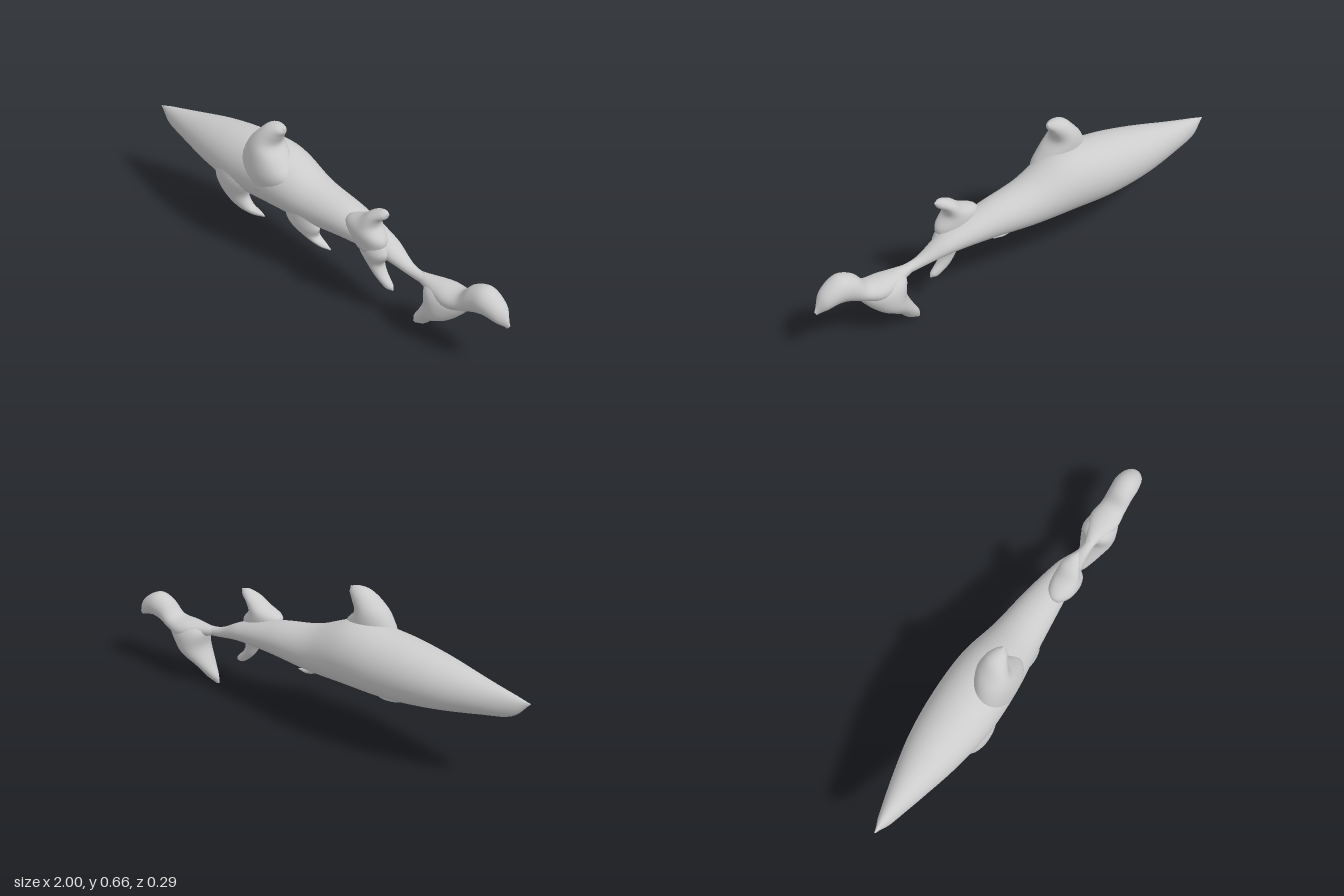
import * as THREE from 'three';

const material = new THREE.MeshStandardMaterial({ color: 0xcccccc });

// Each section is [ax, ay, bx, by, z, h]: a rounded ring spanning edge points a and b
// (a lies to the left of the travel direction), centred at z, with half-thickness h.
function loft(name, sections, rows = 40, sides = 28) {
  const curveA = new THREE.CatmullRomCurve3(sections.map(s => new THREE.Vector3(s[0], s[1], s[4])), false, 'centripetal');
  const curveB = new THREE.CatmullRomCurve3(sections.map(s => new THREE.Vector3(s[2], s[3], s[4])), false, 'centripetal');
  const thick = new THREE.SplineCurve(sections.map((s, i) => new THREE.Vector2(i, s[5])));
  const position = [], index = [];
  for (let i = 0; i <= rows; i++) {
    // ease towards the tip so it closes in a round
    const t = Math.sin((i / rows) * Math.PI / 2);
    const a = curveA.getPoint(t), b = curveB.getPoint(t);
    const h = Math.max(0, thick.getPoint(t).y);
    const mid = a.clone().add(b).multiplyScalar(0.5);
    const half = a.clone().sub(b).multiplyScalar(0.5);
    for (let j = 0; j < sides; j++) {
      const u = (j / sides) * Math.PI * 2;
      position.push(mid.x + half.x * Math.cos(u), mid.y + half.y * Math.cos(u), mid.z + h * Math.sin(u));
      if (i < rows) {
        const p = i * sides + j, q = i * sides + (j + 1) % sides;
        index.push(p, q, p + sides, q, q + sides, p + sides);
      }
    }
  }
  // close both ends
  for (const [row, flip] of [[0, true], [rows, false]]) {
    for (let j = 1; j < sides - 1; j++) {
      const o = row * sides;
      index.push(o, o + (flip ? j + 1 : j), o + (flip ? j : j + 1));
    }
  }
  const geometry = new THREE.BufferGeometry();
  geometry.setAttribute('position', new THREE.Float32BufferAttribute(position, 3));
  geometry.setIndex(index);
  geometry.computeVertexNormals();
  const mesh = new THREE.Mesh(geometry, material);
  mesh.name = name;
  return mesh;
}

export function createModel() {
  const group = new THREE.Group();
  group.name = 'shark';

  // torso from the pointed snout to the thin tail stalk
  group.add(loft('body', [
    [-1, 0.412, -1, 0.408, 0, 0.003],
    [-0.95, 0.425, -0.935, 0.34, -0.003, 0.026],
    [-0.8, 0.455, -0.8, 0.308, -0.006, 0.068],
    [-0.6, 0.497, -0.6, 0.272, -0.006, 0.117],
    [-0.4, 0.525, -0.4, 0.25, -0.002, 0.142],
    [-0.2, 0.53, -0.2, 0.25, -0.003, 0.138],
    [0, 0.452, 0, 0.25, -0.004, 0.108],
    [0.2, 0.412, 0.2, 0.265, -0.005, 0.083],
    [0.4, 0.35, 0.4, 0.265, -0.003, 0.054],
    [0.53, 0.285, 0.53, 0.24, 0.002, 0.024],
    [0.64, 0.275, 0.64, 0.23, 0, 0.025],
  ], 90, 40));

  // fins along the back
  group.add(loft('frontDorsalFin', [
    [-0.33, 0.36, -0.15, 0.36, 0.075, 0.06],
    [-0.365, 0.45, -0.09, 0.44, 0.065, 0.08],
    [-0.33, 0.555, -0.135, 0.51, 0.055, 0.08],
    [-0.28, 0.615, -0.18, 0.565, 0.046, 0.067],
    [-0.235, 0.655, -0.165, 0.61, 0.04, 0.046],
    [-0.19, 0.664, -0.15, 0.635, 0.04, 0.025],
    [-0.15, 0.657, -0.148, 0.65, 0.04, 0.003],
  ]));
  group.add(loft('rearDorsalFin', [
    [0.26, 0.31, 0.4, 0.3, 0.035, 0.05],
    [0.21, 0.4, 0.41, 0.36, 0.04, 0.06],
    [0.29, 0.445, 0.37, 0.415, 0.036, 0.053],
    [0.335, 0.482, 0.38, 0.45, 0.031, 0.041],
    [0.385, 0.502, 0.405, 0.47, 0.03, 0.022],
    [0.415, 0.497, 0.416, 0.49, 0.03, 0.003],
  ]));

  // hooked fins along the belly
  group.add(loft('pectoralFin', [
    [-0.34, 0.42, -0.51, 0.4, 0.085, 0.045],
    [-0.31, 0.34, -0.52, 0.31, 0.093, 0.05],
    [-0.345, 0.25, -0.475, 0.235, 0.085, 0.042],
    [-0.32, 0.207, -0.4, 0.183, 0.078, 0.03],
    [-0.28, 0.195, -0.315, 0.168, 0.072, 0.018],
    [-0.252, 0.187, -0.255, 0.178, 0.07, 0.003],
  ]));
  group.add(loft('pelvicFin', [
    [0.04, 0.34, -0.13, 0.34, 0.06, 0.04],
    [0.065, 0.265, -0.11, 0.26, 0.062, 0.04],
    [0.055, 0.22, 0, 0.205, 0.055, 0.03],
    [0.095, 0.196, 0.07, 0.18, 0.05, 0.017],
    [0.125, 0.188, 0.122, 0.18, 0.05, 0.003],
  ]));
  group.add(loft('analFin', [
    [0.41, 0.34, 0.28, 0.34, 0.03, 0.05],
    [0.43, 0.3, 0.28, 0.29, 0.033, 0.052],
    [0.395, 0.24, 0.325, 0.24, 0.033, 0.04],
    [0.41, 0.2, 0.365, 0.182, 0.03, 0.029],
    [0.45, 0.157, 0.42, 0.138, 0.03, 0.016],
    [0.455, 0.14, 0.45, 0.135, 0.03, 0.003],
  ]));

  // two lobes of the tail fin
  group.add(loft('upperTailLobe', [
    [0.56, 0.277, 0.56, 0.24, 0, 0.02],
    [0.68, 0.283, 0.72, 0.19, -0.01, 0.065],
    [0.765, 0.288, 0.8, 0.218, -0.008, 0.058],
    [0.815, 0.342, 0.86, 0.242, -0.007, 0.056],
    [0.88, 0.366, 0.9, 0.25, -0.007, 0.056],
    [0.96, 0.32, 0.95, 0.24, -0.008, 0.04],
    [1, 0.245, 0.99, 0.227, -0.01, 0.004],
  ]));
  group.add(loft('lowerTailLobe', [
    [0.82, 0.235, 0.75, 0.278, -0.01, 0.035],
    [0.78, 0.18, 0.6, 0.26, -0.01, 0.072],
    [0.73, 0.13, 0.602, 0.175, -0.01, 0.076],
    [0.65, 0.08, 0.572, 0.1, -0.01, 0.05],
    [0.598, 0.028, 0.54, 0.04, -0.01, 0.022],
    [0.55, 0.001, 0.535, 0.006, -0.01, 0.003],
  ]));

  return group;
}
